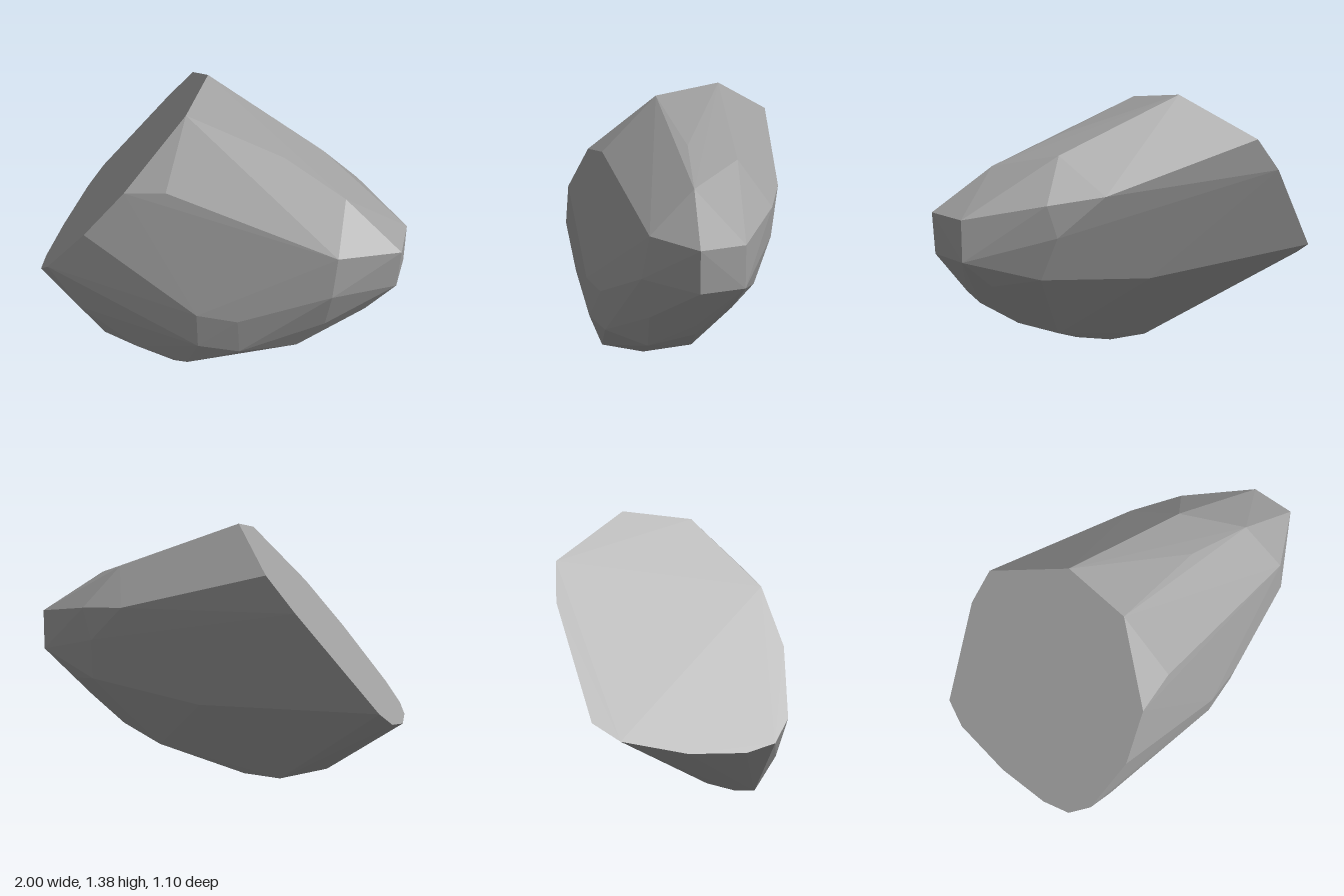
import * as THREE from 'three';
import { ConvexGeometry } from 'three/addons/geometries/ConvexGeometry.js';

// Outline of the sheared flat cap as x, z; height follows from its plane
const CAP = [
  [-0.22, -0.26], [-0.14, 0.07], [-0.28, 0.42], [-0.46, 0.53], [-0.7, 0.55], [-0.8, 0.49],
  [-0.87, 0.36], [-0.95, 0.1], [-1, -0.2], [-0.98, -0.33], [-0.64, -0.53], [-0.5, -0.55],
];
const capHeight = (x, z) => (0.99 + 0.743 * x - 0.273 * z) / 0.649;

// Blunt tip and upper ridge
const TIP = [
  [1, 0.875, -0.05], [0.99, 0.67, -0.05], [0.93, 0.875, -0.26], [0.93, 0.67, -0.26],
  [0.77, 0.875, 0.16], [0.77, 0.67, 0.2],
  [0.35, 1.19, -0.05], [0.69, 1.07, -0.05], [0.44, 1.14, -0.28], [-0.08, 1.06, 0.35],
];
// Front face and its lower bevels
const FRONT = [
  [0.15, 0.46, 0.445], [0.35, 0.46, 0.38], [0.72, 0.46, 0.16],
  [-0.55, 0.255, 0.5], [0.15, 0.255, 0.435], [0.35, 0.255, 0.36], [0.57, 0.255, 0.16],
];
// Underside
const BASE = [
  [-0.47, 0.045, 0.4], [-0.47, 0.045, 0.3], [-0.26, 0.045, 0.405], [0.04, 0.045, 0.37],
  [-0.26, 0.008, 0.36], [-0.05, 0.008, 0.36], [-0.26, 0, 0.16], [-0.05, 0, 0.16],
  [0.15, 0.045, 0.16], [0.35, 0.165, -0.05], [0.57, 0.255, -0.05],
  [0.77, 0.39, -0.05], [0.835, 0.46, -0.05],
];
// Back face and its bevels towards the tip
const BACK = [
  [-0.03, 0.48, -0.32], [0.57, 0.56, -0.35], [0.52, 0.78, -0.435], [0.3, 0.97, -0.5],
  [0.57, 0.94, -0.43], [0.78, 0.89, -0.33], [0.77, 0.78, -0.32], [0.77, 0.52, -0.22],
];

export function createModel() {
  const stone = new THREE.MeshStandardMaterial({ color: 0xa0a0a0 });
  stone.name = 'grey stone';
  stone.flatShading = true;

  const points = [
    ...CAP.map(([x, z]) => new THREE.Vector3(x, capHeight(x, z), z)),
    ...[...TIP, ...FRONT, ...BASE, ...BACK].map((p) => new THREE.Vector3(...p)),
  ];
  const rock = new THREE.Mesh(new ConvexGeometry(points), stone);
  rock.name = 'rock';

  const model = new THREE.Group();
  model.name = 'boulder';
  model.add(rock);
  return model;
}
